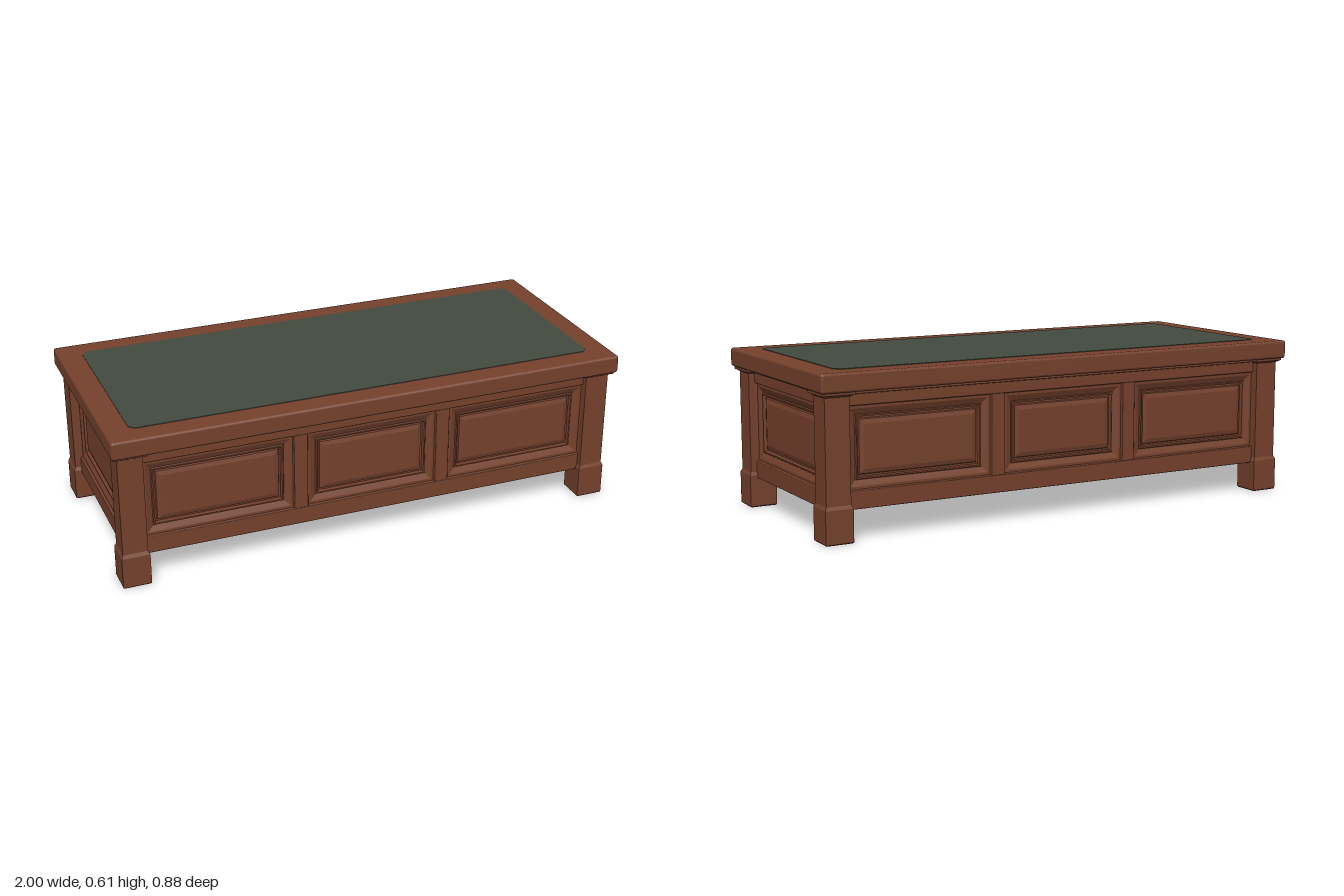
import * as THREE from 'three';
import { RoundedBoxGeometry } from 'three/addons/geometries/RoundedBoxGeometry.js';

const wood = new THREE.MeshStandardMaterial({ color: 0x75412d });
wood.name = 'redBrownWood';
const felt = new THREE.MeshStandardMaterial({ color: 0x424a3e });
felt.name = 'darkGreenInlay';

function add(parent, name, geometry, material, x = 0, y = 0, z = 0) {
  const mesh = new THREE.Mesh(geometry, material);
  mesh.name = name;
  mesh.position.set(x, y, z);
  parent.add(mesh);
  return mesh;
}

// Box given by its limits in x and y, with its front face at depth z
function board(parent, name, x0, x1, y0, y1, z, depth = 0.04) {
  add(parent, name, new RoundedBoxGeometry(x1 - x0, y1 - y0, depth, 1, 0.003), wood,
    (x0 + x1) / 2, (y0 + y1) / 2, z - depth / 2);
}

// Square post from [half width, height] steps
function squarePost(steps) {
  const points = steps.map(([h, y]) => new THREE.Vector2(h * Math.SQRT2, y));
  const geometry = new THREE.LatheGeometry(points, 4, Math.PI / 4).toNonIndexed();
  geometry.computeVertexNormals();
  return geometry;
}

// Mitred moulding and raised field: nested rectangles given as [inset, depth]
const panelSteps = [[0, 0], [0.002, -0.008], [0.012, -0.008], [0.034, -0.018], [0.037, -0.013],
  [0.042, -0.013], [0.044, -0.028], [0.05, -0.028], [0.053, -0.021], [0.07, -0.016]];
function panelGeometry(w, h) {
  const positions = [];
  const ring = ([inset, d]) => {
    const x = w / 2 - inset, y = h / 2 - inset;
    return [[-x, -y, d], [x, -y, d], [x, y, d], [-x, y, d]];
  };
  const quad = (a, b, c, d) => positions.push(...a, ...b, ...c, ...a, ...c, ...d);
  for (let i = 0; i < panelSteps.length - 1; i++) {
    const outer = ring(panelSteps[i]), inner = ring(panelSteps[i + 1]);
    for (let k = 0; k < 4; k++) {
      const n = (k + 1) % 4;
      quad(outer[k], outer[n], inner[n], inner[k]);
    }
  }
  quad(...ring(panelSteps[panelSteps.length - 1]));
  const geometry = new THREE.BufferGeometry();
  geometry.setAttribute('position', new THREE.Float32BufferAttribute(positions, 3));
  geometry.computeVertexNormals();
  return geometry;
}

// One framed side of the body, facing +z; stiles split it into panels
function framedSide(name, halfWidth, z, stiles) {
  const side = new THREE.Group();
  side.name = name;
  board(side, 'bottomRail', -halfWidth, halfWidth, 0.113, 0.18, z);
  board(side, 'topRail', -halfWidth, halfWidth, 0.48, 0.536, z);
  board(side, 'topBead', -halfWidth, halfWidth, 0.522, 0.536, z + 0.012);
  const half = 0.0275;
  const edges = [-halfWidth];
  for (const s of stiles) {
    board(side, 'stile', s - half, s + half, 0.178, 0.482, z);
    edges.push(s - half, s + half);
  }
  edges.push(halfWidth);
  for (let i = 0; i < edges.length; i += 2) {
    add(side, 'raisedPanel', panelGeometry(edges[i + 1] - edges[i], 0.3), wood,
      (edges[i] + edges[i + 1]) / 2, 0.33, z - 0.002);
  }
  return side;
}

export function createModel() {
  const model = new THREE.Group();
  model.name = 'panelledDesk';

  // Table top with its inset writing surface
  add(model, 'tableTop', new RoundedBoxGeometry(2, 0.07, 0.88, 3, 0.01), wood, 0, 0.57, 0);
  const x = 0.91, z = 0.353, c = 0.02;
  const outline = new THREE.Shape([[-x + c, -z], [x - c, -z], [x, -z + c], [x, z - c],
    [x - c, z], [-x + c, z], [-x, z - c], [-x, -z + c]].map(p => new THREE.Vector2(...p)));
  const inlay = new THREE.ExtrudeGeometry(outline, { depth: 0.005, bevelEnabled: false });
  inlay.rotateX(-Math.PI / 2);
  add(model, 'writingSurface', inlay, felt, 0, 0.602, 0);

  // Body core closes the underside
  add(model, 'bodyCore', new THREE.BoxGeometry(1.82, 0.422, 0.69), wood, 0, 0.325, 0);

  // Four framed sides
  for (const [name, turn] of [['front', 0], ['back', Math.PI]]) {
    const side = framedSide(name + 'Side', 0.882, 0.386, [-0.285, 0.285]);
    side.rotation.y = turn;
    model.add(side);
  }
  for (const [name, turn] of [['left', Math.PI / 2], ['right', -Math.PI / 2]]) {
    const side = framedSide(name + 'Side', 0.313, 0.953, []);
    side.rotation.y = turn;
    model.add(side);
  }

  // Corner legs with block feet and moulded capitals
  const leg = squarePost([[0, 0], [0.049, 0], [0.053, 0.004], [0.053, 0.124], [0.047, 0.137],
    [0.047, 0.517], [0.051, 0.519], [0.056, 0.523], [0.062, 0.525], [0.062, 0.536], [0, 0.536]]);
  for (const sx of [-1, 1]) {
    for (const sz of [-1, 1]) add(model, 'cornerLeg', leg, wood, sx * 0.929, 0, sz * 0.36);
  }
  return model;
}
